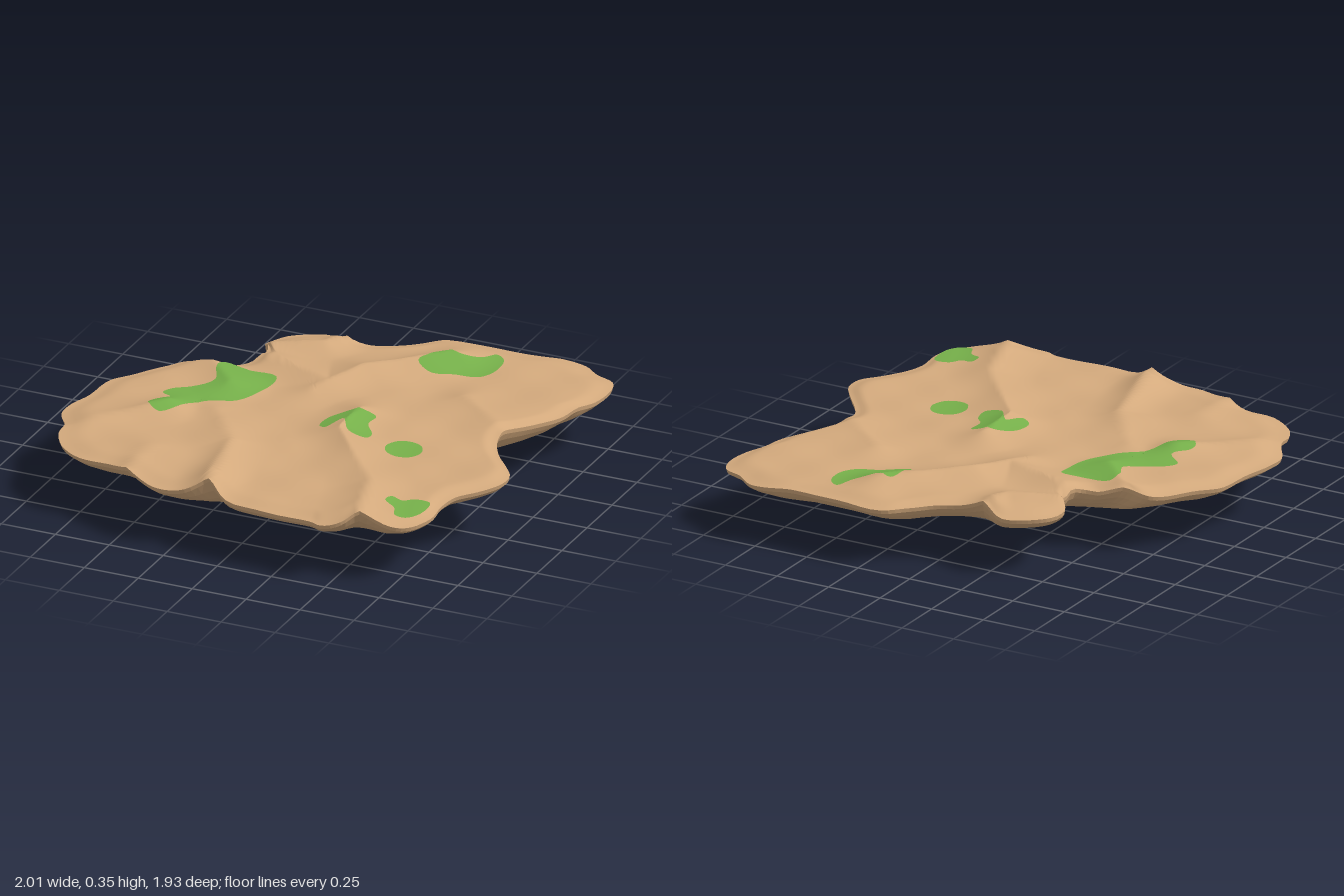
import * as THREE from 'three';

// Island outline as x, z pairs, running clockwise seen from above
const OUTLINE = [
  0.17, -0.95, 0.38, -0.95, 0.6, -0.95, 0.7, -0.97, 0.8, -0.96, 0.88, -0.9, 0.97, -0.86, 1, -0.78, 0.99, -0.65,
  0.95, -0.56, 0.93, -0.45, 0.86, -0.32, 0.79, -0.2, 0.79, -0.1, 0.84, 0, 0.92, 0.1, 0.98, 0.19,
  0.98, 0.28, 0.92, 0.38, 0.86, 0.47, 0.84, 0.57, 0.85, 0.7, 0.81, 0.81, 0.74, 0.86, 0.6, 0.87,
  0.54, 0.93, 0.46, 0.96, 0.4, 0.94, 0.2, 0.94, 0, 0.92, -0.1, 0.87, -0.2, 0.9, -0.32, 0.91,
  -0.42, 0.87, -0.5, 0.83, -0.6, 0.79, -0.74, 0.78, -0.86, 0.7, -0.92, 0.6, -0.93, 0.52, -1, 0.4,
  -1, 0.3, -0.97, 0.18, -0.95, 0, -0.88, -0.09, -0.8, -0.21, -0.74, -0.27, -0.65, -0.28, -0.55, -0.32,
  -0.47, -0.37, -0.46, -0.5, -0.51, -0.58, -0.48, -0.68, -0.4, -0.75, -0.32, -0.78, -0.2, -0.73,
  -0.1, -0.75, 0, -0.8, 0.08, -0.87,
];

// Ridges: start x, z, end x, z, start height, end height, half width
const RIDGES = [
  [-0.5, 0.84, -0.5, 0.6, 0.03, 0.02, 0.18],
  [-0.1, 0.88, -0.2, 0.42, 0.072, 0.035, 0.17],
  [-0.2, 0.42, -0.4, 0.15, 0.035, 0.02, 0.2],
  [0.6, 0.88, 0.5, 0.55, 0.058, 0.03, 0.2],
  [0.5, 0.55, 0.17, 0.15, 0.03, 0.045, 0.2],
  [0.17, 0.15, 0.17, -0.07, 0.045, 0.04, 0.2],
  [0.79, -0.16, 0.5, -0.4, 0.025, 0.025, 0.2],
  [0.3, -0.74, 0, -0.45, 0.05, 0.045, 0.2],
  [0, -0.45, -0.12, -0.2, 0.045, 0.025, 0.2],
  [-0.46, -0.42, -0.1, -0.3, 0.04, 0.03, 0.2],
  [-0.47, -0.52, -0.25, -0.62, 0.04, 0.035, 0.15],
  [-0.2, -0.73, -0.25, -0.62, 0.04, 0.035, 0.15],
  [-0.62, -0.28, -0.45, -0.1, 0.03, 0.03, 0.2],
  [-0.92, 0.54, -0.6, 0.2, 0.015, 0.045, 0.2],
];

// Grass: centre x, z, then an outline of x, z pairs around it
const PATCHES = [
  [-0.46, -0.02, -0.55, -0.27, -0.43, -0.265, -0.31, -0.26, -0.3, -0.18, -0.33, -0.05, -0.38, 0.03, -0.48, 0.1,
    -0.53, 0.17, -0.56, 0.25, -0.6, 0.29, -0.67, 0.25, -0.67, 0.2, -0.62, 0.13, -0.68, 0.08,
    -0.66, 0.03, -0.59, -0.02, -0.52, -0.1, -0.56, -0.2],
  [0.16, 0.03, 0.17, -0.05, 0.25, -0.05, 0.25, 0.03, 0.3, 0.1, 0.3, 0.16, 0.22, 0.16, 0.15, 0.07,
    0.11, 0.15, 0.07, 0.13, 0.07, 0.05, 0.1, 0],
  [0.475, 0.16, 0.555, 0.16, 0.53, 0.22, 0.475, 0.24, 0.42, 0.22, 0.395, 0.16, 0.42, 0.1, 0.475, 0.08, 0.53, 0.1],
  [0.36, -0.67, 0.44, -0.85, 0.49, -0.81, 0.5, -0.7, 0.46, -0.63, 0.36, -0.6, 0.27, -0.56, 0.19, -0.6,
    0.22, -0.66, 0.25, -0.73, 0.32, -0.73, 0.4, -0.78],
  [0.73, 0.68, 0.64, 0.63, 0.69, 0.64, 0.73, 0.6, 0.8, 0.6, 0.81, 0.72, 0.77, 0.78, 0.72, 0.78,
    0.69, 0.72, 0.63, 0.68],
];

// Ground height: gentle bumps plus the tallest nearby ridge
function height(x, z) {
  let ridge = 0;
  for (const [ax, az, bx, bz, ha, hb, w] of RIDGES) {
    const dx = bx - ax, dz = bz - az;
    const s = THREE.MathUtils.clamp(((x - ax) * dx + (z - az) * dz) / (dx * dx + dz * dz), 0, 1);
    const d = Math.hypot(x - ax - s * dx, z - az - s * dz);
    const k = Math.max(0, 1 - d / w);
    ridge = Math.max(ridge, (ha + (hb - ha) * s) * k * k);
  }
  const bumps = 0.005 * Math.sin(7 * x + 2 * z) * Math.cos(6 * z - x)
    + 0.003 * Math.sin(17 * x - 9 * z + 1) * Math.sin(15 * z + 5 * x);
  return 0.279 + ridge + bumps;
}

// Smooth closed loop through x, z pairs, four steps per point
function loop(pairs) {
  const pts = [];
  for (let i = 0; i < pairs.length; i += 2) pts.push(new THREE.Vector3(pairs[i], 0, pairs[i + 1]));
  return new THREE.CatmullRomCurve3(pts, true).getPoints(pts.length * 4).slice(0, -1);
}

// Skin over a list of closed rings; faces up when the rings grow outward
function loft(rings) {
  const n = rings[0].length, pos = [], idx = [];
  rings.forEach((ring) => ring.forEach((p) => pos.push(p.x, p.y, p.z)));
  for (let r = 0; r < rings.length - 1; r++) {
    for (let i = 0; i < n; i++) {
      const j = (i + 1) % n, a = r * n + i, b = r * n + j;
      idx.push(a, b + n, a + n, a, b, b + n);
    }
  }
  const g = new THREE.BufferGeometry();
  g.setAttribute('position', new THREE.Float32BufferAttribute(pos, 3));
  g.setIndex(idx);
  g.computeVertexNormals();
  return g;
}

// Rings spreading from a centre to an outline, draped over the ground
function drape(centre, edge, steps, lift, rimDrop) {
  const rings = [];
  for (let r = 0; r <= steps; r++) {
    const t = r / steps;
    rings.push(edge.map((e) => {
      const p = centre.clone().lerp(e, t);
      p.y = height(p.x, p.z) + lift - rimDrop * THREE.MathUtils.smoothstep(t, 0.9, 1);
      return p;
    }));
  }
  return rings;
}

export function createModel() {
  const group = new THREE.Group();
  const sand = new THREE.MeshStandardMaterial({ color: 0xd4aa7d });
  sand.name = 'sand';
  const grass = new THREE.MeshStandardMaterial({ color: 0x76b04a });
  grass.name = 'grass green';
  const add = (geometry, material, name) => {
    const mesh = new THREE.Mesh(geometry, material);
    mesh.name = name;
    group.add(mesh);
  };

  // Sandy ground
  const centre = new THREE.Vector3(0.13, 0, 0);
  const edge = loop(OUTLINE);
  const n = edge.length;
  const top = drape(centre, edge, 48, 0, 0.018);
  add(loft(top), sand, 'ground');

  // Ribbed rim curling under the edge
  const rim = top[top.length - 1];
  const inset = (t, yOf) => rim.map((p) => {
    const q = centre.clone().lerp(p, t);
    q.y = yOf(p.y);
    return q;
  });
  // Coarse rings with straight runs between a few corners
  const coarse = (t, y, count, seed) => {
    const corner = (k) => {
      const p = rim[Math.floor(((k % count) * n) / count)];
      const q = centre.clone().lerp(p, t * (1 + 0.08 * Math.sin((k % count) * 7.3 + seed)));
      q.y = y + 0.008 * Math.sin((k % count) * 4.1 + seed);
      return q;
    };
    return rim.map((_, i) => {
      const f = (i * count) / n, k = Math.floor(f);
      return corner(k).lerp(corner(k + 1), f - k);
    });
  };
  const under = [
    rim,
    inset(0.995, (y) => y - 0.018),
    inset(0.965, (y) => 0.6 * (y - 0.035) + 0.4 * 0.21),
    inset(0.91, (y) => 0.3 * (y - 0.06) + 0.7 * 0.188),
    inset(0.84, () => 0.168),
    coarse(0.62, 0.115, 18, 1),
    coarse(0.33, 0.05, 10, 4),
    rim.map(() => centre.clone()),
  ];
  const underside = loft(under).toNonIndexed();
  underside.computeVertexNormals();
  add(underside, sand, 'underside');

  // Grass patches
  PATCHES.forEach(([x, z, ...outline], i) => {
    const rings = drape(new THREE.Vector3(x, 0, z), loop(outline), 14, 0.004, 0);
    add(loft(rings), grass, 'grassPatch' + (i + 1));
  });
  return group;
}
